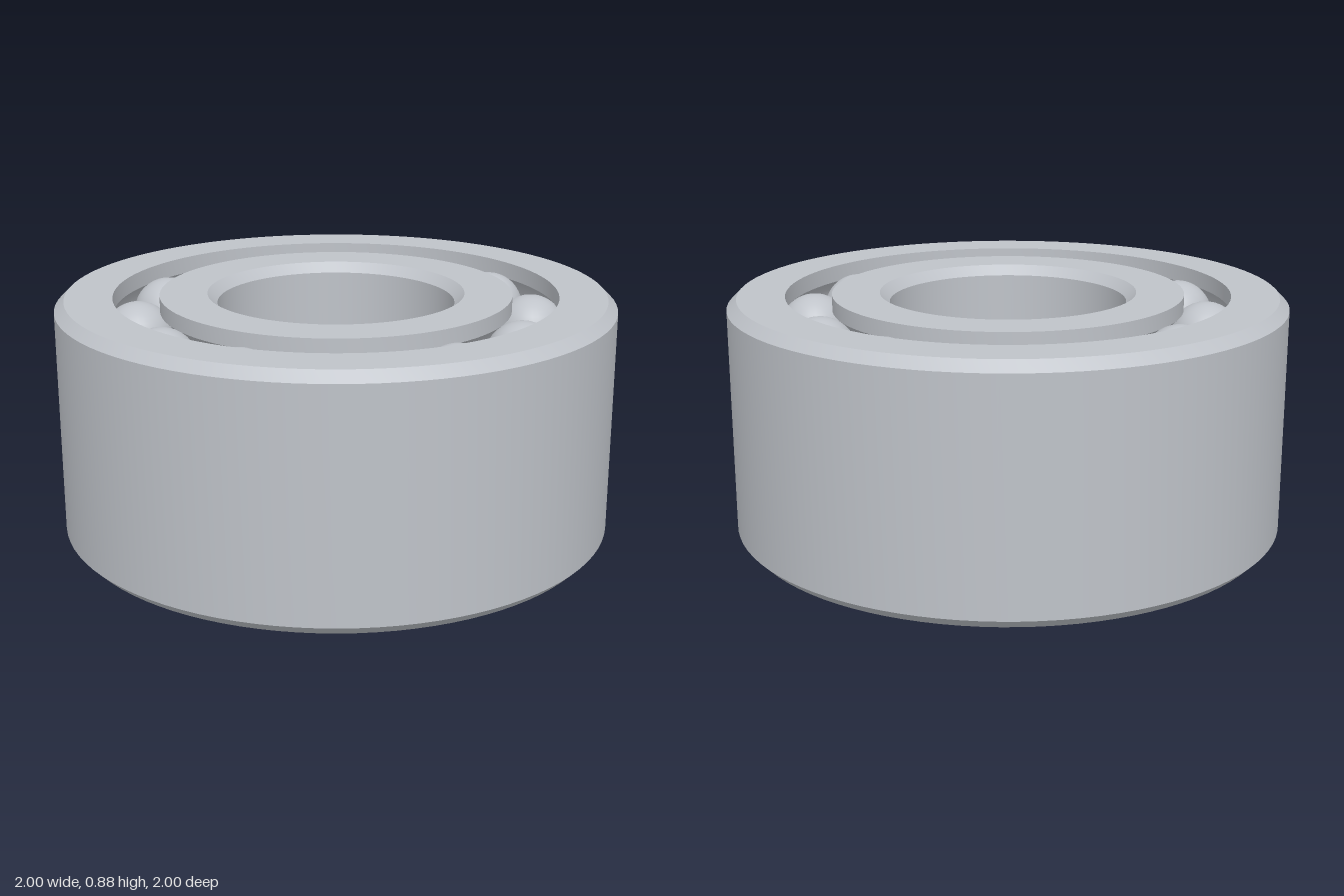
import * as THREE from 'three';
import { toCreasedNormals } from 'three/addons/utils/BufferGeometryUtils.js';

const HEIGHT = 0.875;
const CHAMFER = 0.035;
const PITCH = 0.71; // radius of the circle through the ball centres
const BALL = 0.13;
const ROWS = [0.16, HEIGHT - 0.16];
const BALLS_PER_ROW = 12;

// Points of the raceway grooves on a wall of radius r, running upwards.
function raceway(r) {
  const side = Math.sign(r - PITCH);
  const half = Math.acos(Math.abs(r - PITCH) / BALL);
  const points = [];
  for (const y of ROWS) {
    for (let i = 0; i <= 10; i++) {
      const a = -half + (2 * half * i) / 10;
      points.push(new THREE.Vector2(PITCH + side * BALL * Math.cos(a), y + BALL * Math.sin(a)));
    }
  }
  return points;
}

// Turns a closed profile, listed counter-clockwise in (radius, y).
function ring(name, profile, material) {
  const geometry = new THREE.LatheGeometry([...profile, profile[0].clone()], 96);
  const mesh = new THREE.Mesh(toCreasedNormals(geometry, Math.PI / 6), material);
  mesh.name = name;
  return mesh;
}

export function createModel() {
  const group = new THREE.Group();
  group.name = 'ballBearing';
  const steel = new THREE.MeshStandardMaterial({ color: 0xbfc3c9 });
  steel.name = 'steel';
  const p = (r, y) => new THREE.Vector2(r, y);

  // Outer ring: chamfered outside, grooved inside
  const outerWall = 0.795;
  group.add(ring('outerRing', [
    p(outerWall, 0), p(1 - CHAMFER, 0), p(1, CHAMFER),
    p(1, HEIGHT - CHAMFER), p(1 - CHAMFER, HEIGHT), p(outerWall, HEIGHT),
    ...raceway(outerWall).reverse(),
  ], steel));

  // Inner ring: grooved outside, chamfered bore
  const innerWall = 0.63;
  const bore = 0.425;
  group.add(ring('innerRing', [
    p(bore + CHAMFER, 0), p(innerWall, 0),
    ...raceway(innerWall),
    p(innerWall, HEIGHT), p(bore + CHAMFER, HEIGHT),
    p(bore, HEIGHT - CHAMFER), p(bore, CHAMFER),
  ], steel));

  // Two rows of balls
  const ballGeometry = new THREE.SphereGeometry(BALL, 32, 20);
  ROWS.forEach((y, row) => {
    const balls = new THREE.Group();
    balls.name = row === 0 ? 'lowerBalls' : 'upperBalls';
    for (let i = 0; i < BALLS_PER_ROW; i++) {
      const a = (i / BALLS_PER_ROW) * Math.PI * 2;
      const ball = new THREE.Mesh(ballGeometry, steel);
      ball.name = 'ball';
      ball.position.set(PITCH * Math.cos(a), y, PITCH * Math.sin(a));
      balls.add(ball);
    }
    group.add(balls);
  });

  return group;
}
